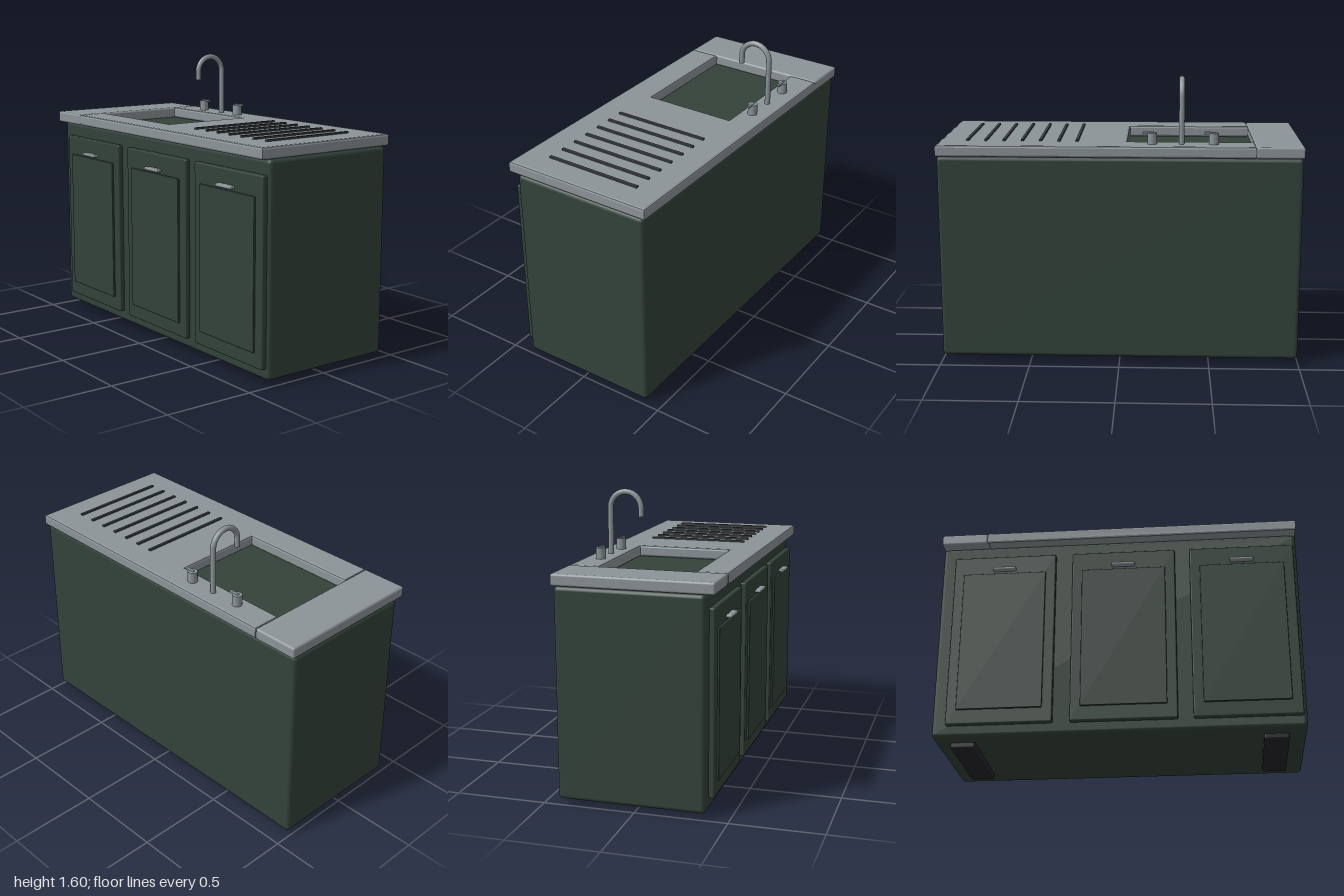
import * as THREE from 'three';
import { RoundedBoxGeometry } from 'three/addons/geometries/RoundedBoxGeometry.js';

const mat = (color) => new THREE.MeshStandardMaterial({ color });

export function createModel() {
  const model = new THREE.Group();
  const green = mat(0x33423a), steel = mat(0x8c9498), dark = mat(0x26262b), slot = mat(0x3c4042);

  const add = (name, geometry, material, parent = model) => {
    const mesh = new THREE.Mesh(geometry, material);
    mesh.name = name;
    parent.add(mesh);
    return mesh;
  };
  // Softened box given by its min and max on each axis
  const box = (name, [x0, x1], [y0, y1], [z0, z1], r, material, parent) => {
    const g = new RoundedBoxGeometry(x1 - x0, y1 - y0, z1 - z0, 2, r);
    g.translate((x0 + x1) / 2, (y0 + y1) / 2, (z0 + z1) / 2);
    return add(name, g, material, parent);
  };

  // Cabinet body and the two runners under it
  box('cabinet', [-0.997, 0.997], [0.03, 1.17], [-0.422, 0.377], 0.022, green);
  for (const x of [-0.845, 0.837])
    box('foot', [x - 0.067, x + 0.067], [0, 0.05], [-0.28, 0.28], 0.01, dark);

  // Doors with raised panel and bar handle
  for (const x of [-0.632, 0.036, 0.692]) {
    const door = new THREE.Group();
    door.name = 'door';
    model.add(door);
    box('doorFrame', [x - 0.287, x + 0.287], [0.09, 1.09], [0.36, 0.406], 0.008, green, door);
    box('doorPanel', [x - 0.232, x + 0.232], [0.17, 0.98], [0.39, 0.417], 0.004, green, door);
    box('handle', [x - 0.065, x + 0.065], [0.993, 1.011], [0.405, 0.44], 0.007, steel, door);
  }

  // Worktop: a side slab, and a C-shaped slab that wraps the sink opening
  box('sideWorktop', [-1, -0.738], [1.171, 1.235], [-0.437, 0.427], 0.012, steel);
  const outline = [[-0.738, -0.427], [1, -0.427], [1, 0.437], [-0.738, 0.437],
    [-0.738, 0.272], [-0.04, 0.272], [-0.04, -0.254], [-0.738, -0.254]];
  const shape = new THREE.Shape(outline.map(([x, y]) => new THREE.Vector2(x, y)));
  const bevel = 0.012;
  const top = new THREE.ExtrudeGeometry(shape, {
    depth: 0.064 - 2 * bevel, bevelSize: bevel, bevelThickness: bevel, bevelOffset: -bevel, bevelSegments: 2,
  });
  top.rotateX(-Math.PI / 2).translate(0, 1.171 + bevel, 0);
  add('sinkWorktop', top, steel);

  // Draining grooves
  for (let i = 0; i < 7; i++) {
    const x = 0.237 + i * 0.1012;
    box('drainRib', [x - 0.008, x + 0.008], [1.22, 1.245], [-0.285, 0.277], 0.002, slot);
  }

  // Swan-neck tap
  const path = new THREE.CurvePath();
  const v = (y, z) => new THREE.Vector3(-0.337, y, z);
  const arc = [];
  for (let i = 0; i <= 16; i++) {
    const a = (i / 16) * Math.PI;
    arc.push(v(1.492 + 0.088 * Math.sin(a), -0.255 - 0.088 * Math.cos(a)));
  }
  path.add(new THREE.LineCurve3(v(1.22, -0.343), arc[0]));
  path.add(new THREE.CatmullRomCurve3(arc));
  path.add(new THREE.LineCurve3(arc[16], v(1.445, -0.167)));
  add('tapSpout', new THREE.TubeGeometry(path, 64, 0.0155, 14), steel);
  const tip = add('spoutEnd', new THREE.CircleGeometry(0.0155, 14), steel);
  tip.rotation.x = Math.PI / 2;
  tip.position.copy(v(1.445, -0.167));

  // Tap knobs with small levers
  for (const x of [-0.512, -0.177]) {
    const knob = new THREE.Group();
    knob.name = 'tapKnob';
    model.add(knob);
    add('knobBody', new THREE.CylinderGeometry(0.027, 0.027, 0.07, 18), steel, knob).position.set(x, 1.261, -0.34);
    box('knobLever', [x - 0.01, x + 0.052], [1.288, 1.302], [-0.348, -0.332], 0.004, steel, knob);
  }
  return model;
}
